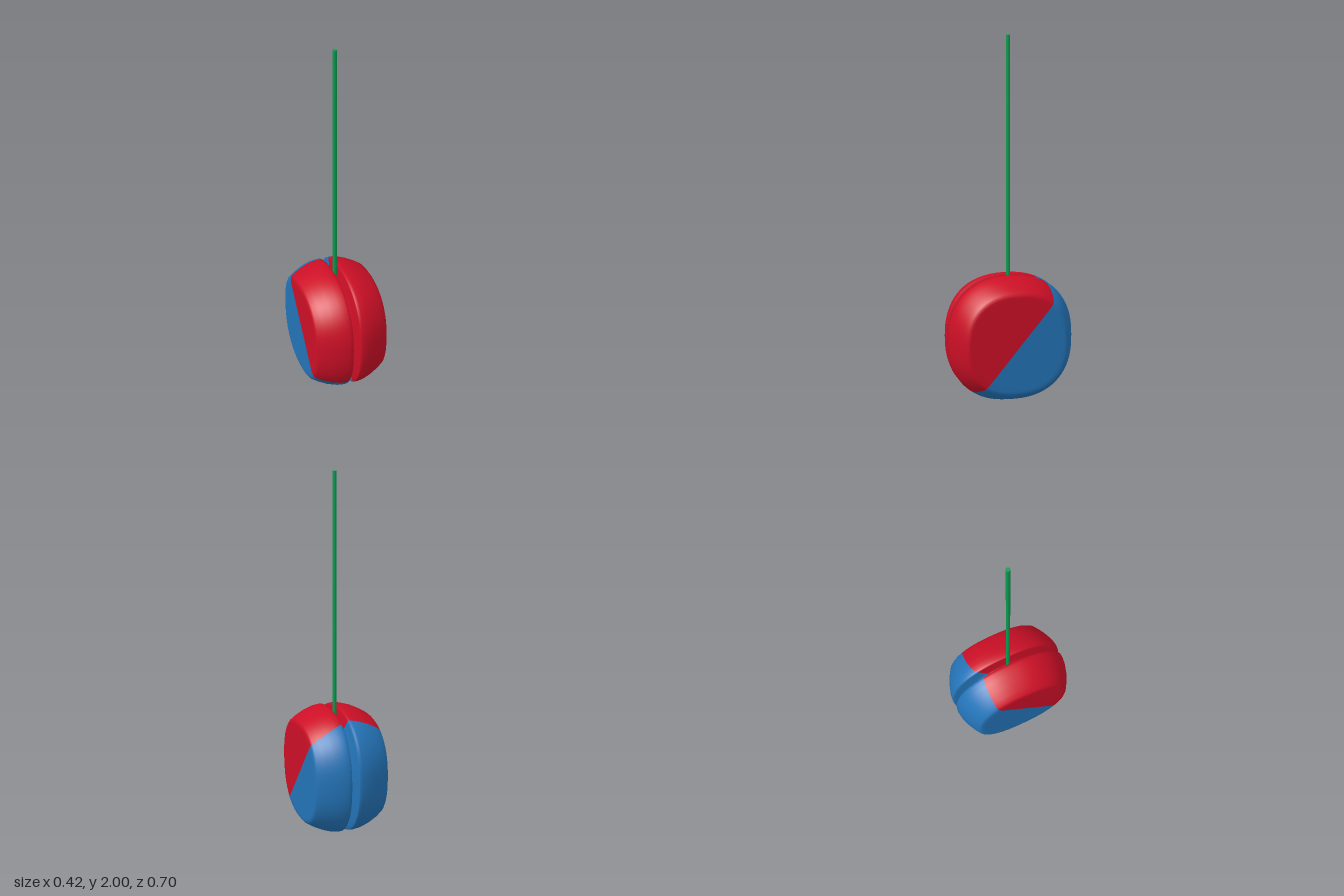
import * as THREE from 'three';

const red = new THREE.MeshStandardMaterial({ name: 'red', color: 0xcc0f26 });
const blue = new THREE.MeshStandardMaterial({ name: 'blue', color: 0x2474b8 });
const green = new THREE.MeshStandardMaterial({ name: 'green', color: 0x0a9b4f });

const CENTER_Y = 0.35;
const N = 40; // segments in each colour's arc
const RAD = Math.PI / 180;

// Profile across the width: x, radius, then the lower and upper colour seam angles.
const PROFILE = [
  [-0.211, 0.25, -40.5, 124], [-0.21, 0.266, -40.5, 124], [-0.208, 0.276, -40.5, 123.6],
  [-0.2, 0.287, -40.5, 123.4], [-0.17, 0.306, -40, 122], [-0.12, 0.33, -39.5, 120.5],
  [-0.07, 0.345, -39, 119], [-0.035, 0.349, -38.8, 117.6], [-0.02, 0.348, -38.7, 117],
  [-0.015, 0.343, -38.7, 117], [-0.013, 0.33, -39, 117], [-0.004, 0.273, -43, 116],
  [0.006, 0.26, -45, 116],
  [0.016, 0.273, -47, 117], [0.024, 0.33, -51, 119], [0.026, 0.343, -52, 120],
  [0.03, 0.348, -52, 120.5], [0.045, 0.349, -52, 122], [0.075, 0.345, -52, 124],
  [0.12, 0.33, -52, 127], [0.17, 0.306, -52, 130], [0.2, 0.287, -52, 131.8],
  [0.208, 0.276, -52, 132.2], [0.21, 0.266, -52.3, 132.5], [0.211, 0.25, -52.5, 132.7],
];

// Rounded-square outline point at a given angle, measured from +z towards +y.
function outline(x, radius, angle) {
  const p = 2.35, c = Math.cos(angle), s = Math.sin(angle);
  const r = radius / Math.pow(Math.abs(c) ** p + Math.abs(s) ** p, 1 / p);
  return [x, CENTER_Y + r * s, r * c];
}

// One ring: first N points run along the red arc, the next N along the blue arc.
function ring([x, radius, low, high]) {
  const points = [];
  for (let j = 0; j < 2 * N; j++) {
    const deg = j < N
      ? low + (high - low) * j / N
      : high + (low + 360 - high) * (j - N) / N;
    points.push(outline(x, radius, deg * RAD));
  }
  return points;
}

// Collapse an end ring onto the straight colour seam to close the flat side.
function seamLine(points, x) {
  return points.map((_, j) => {
    const t = (1 - Math.cos(Math.PI * j / N)) / 2;
    return [x, ...[1, 2].map(k => points[0][k] + (points[N][k] - points[0][k]) * t)];
  });
}

function buildBody() {
  const rings = PROFILE.map(ring);
  const rows = [seamLine(rings[0], -0.212), ...rings, seamLine(rings[rings.length - 1], 0.212)];
  const M = 2 * N, index = [], counts = [];
  for (const start of [0, N]) {
    const before = index.length;
    for (let i = 0; i < rows.length - 1; i++) {
      for (let j = start; j < start + N; j++) {
        const a = i * M + j, b = i * M + (j + 1) % M;
        index.push(a, a + M, b, b, a + M, b + M);
      }
    }
    counts.push([before, index.length - before]);
  }
  const geo = new THREE.BufferGeometry();
  geo.setAttribute('position', new THREE.Float32BufferAttribute(rows.flat(2), 3));
  geo.setIndex(index);
  counts.forEach(([s, c], m) => geo.addGroup(s, c, m));
  geo.computeVertexNormals();
  return geo;
}

export function createModel() {
  const model = new THREE.Group();
  model.name = 'yoyo';

  // Two-coloured body with the string groove
  const body = new THREE.Mesh(buildBody(), [red, blue]);
  body.name = 'body';
  model.add(body);

  // Straight string rising from the groove
  const string = new THREE.Mesh(new THREE.CylinderGeometry(0.012, 0.012, 1.42, 8), green);
  string.name = 'string';
  string.position.y = 1.29;
  model.add(string);

  return model;
}
